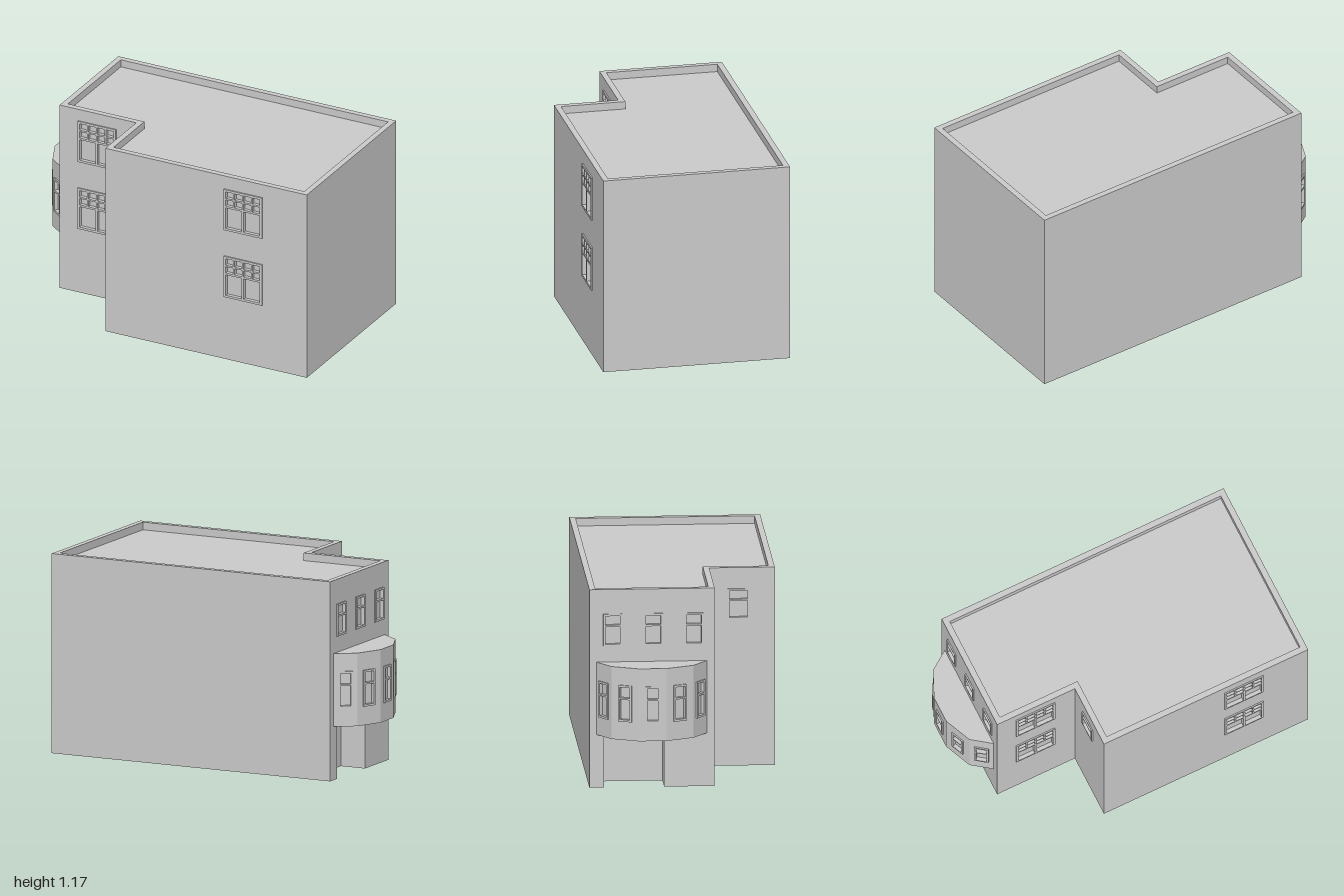
import * as THREE from 'three';

const H = 1.175, ROOF = 1.13;
const mat = new THREE.MeshStandardMaterial({ color: 0xcccccc, side: THREE.DoubleSide, flatShading: true });

function add(parent, name, geo, x = 0, y = 0, z = 0) {
  const m = new THREE.Mesh(geo, mat);
  m.name = name;
  m.position.set(x, y, z);
  parent.add(m);
  return m;
}
const box = (p, n, w, h, d, x, y, z) => add(p, n, new THREE.BoxGeometry(w, h, d), x, y, z);
const poly = (pts) => new THREE.Shape(pts.map(([x, y]) => new THREE.Vector2(x, y)));
const rect = (x, y, w, h) => poly([[x, y], [x + w, y], [x + w, y + h], [x, y + h]]);

// Horizontal sheet from a list of [x, z] corners
function sheet(parent, name, pts, y) {
  add(parent, name, new THREE.ShapeGeometry(poly(pts)), 0, y, 0).rotation.x = Math.PI / 2;
}

// Window in the local plane of a wall: pierced frame plus a recessed pane
function addWindow(parent, { x, y, w, h, grid }) {
  const g = new THREE.Group();
  g.name = 'window';
  g.position.set(x, y, 0);
  parent.add(g);
  const t = grid ? 0.014 : 0.012, frame = rect(0, 0, w, h);
  const cells = (x0, y0, cw, ch, cols, rows, gap) => {
    const pw = (cw - gap * (cols - 1)) / cols, ph = (ch - gap * (rows - 1)) / rows;
    for (let i = 0; i < cols; i++) for (let j = 0; j < rows; j++)
      frame.holes.push(rect(x0 + i * (pw + gap), y0 + j * (ph + gap), pw, ph));
  };
  const iw = w - 2 * t, ih = h - 2 * t;
  if (grid) {
    cells(t, t, iw, ih * 0.56, 2, 1, 0.012);
    cells(t, t + ih * 0.56 + 0.012, iw, ih * 0.44 - 0.012, 4, 2, 0.01);
  } else {
    cells(t, t, iw, ih * 0.62, 1, 1, 0.01);
    cells(t, t + ih * 0.62 + 0.01, iw, ih * 0.38 - 0.01, 1, 1, 0.01);
  }
  add(g, 'windowFrame', new THREE.ExtrudeGeometry(frame, { depth: 0.03, bevelEnabled: false }), 0, 0, -0.022);
  add(g, 'windowPane', new THREE.PlaneGeometry(w, h), w / 2, h / 2, -0.014);
}

// Wall sheet from corner a to corner b ([x, z]), outside on local +z
function wall(parent, name, a, b, { y = 0, h = H, windows = [], door } = {}) {
  const g = new THREE.Group();
  g.name = name;
  const dx = b[0] - a[0], dz = b[1] - a[1], len = Math.hypot(dx, dz);
  g.position.set(a[0], y, a[1]);
  g.rotation.y = Math.atan2(-dz, dx);
  const s = door
    ? poly([[0, 0], [door[0], 0], [door[0], door[2]], [door[1], door[2]], [door[1], 0], [len, 0], [len, h], [0, h]])
    : rect(0, 0, len, h);
  for (const w of windows) {
    s.holes.push(rect(w.x, w.y, w.w, w.h));
    addWindow(g, w);
  }
  add(g, name + 'Panel', new THREE.ShapeGeometry(s));
  parent.add(g);
}

export function createModel() {
  const house = new THREE.Group();
  house.name = 'house';
  const L = -0.815, N = -0.315, R = 1, B = -0.56, M = 0.165, F = 0.545;

  // Outer walls of the L-shaped plan
  const big = (x, y) => ({ x, y, w: 0.25, h: 0.262, grid: true });
  const small = (x, y) => ({ x, y, w: 0.11, h: 0.19 });
  wall(house, 'frontWall', [N, F], [R, F], { windows: [big(0.46 - N, 0.4), big(0.46 - N, 0.83)] });
  wall(house, 'leftWall', [R, F], [R, B]);
  wall(house, 'backWall', [R, B], [L, B]);
  wall(house, 'rightWall', [L, B], [L, M], {
    door: [0.085, 0.433, 0.315],
    windows: [0.08, 0.315, 0.55].map((x) => small(x, 0.84)),
  });
  wall(house, 'wingFrontWall', [L, M], [N, M], { windows: [big(-0.695 - L, 0.41), big(-0.695 - L, 0.84)] });
  wall(house, 'notchWall', [N, M], [N, F], { windows: [{ x: 0.105, y: 0.87, w: 0.13, h: 0.18 }] });

  // Roof and parapet
  const ring = (d) => [[L + d, B + d], [R - d, B + d], [R - d, F - d], [N + d, F - d], [N + d, M - d], [L + d, M - d]];
  sheet(house, 'roof', ring(0), ROOF);
  const cap = poly(ring(0));
  cap.holes.push(poly(ring(0.035)));
  const parapet = add(house, 'parapet',
    new THREE.ExtrudeGeometry(cap, { depth: H - ROOF, bevelEnabled: false }), 0, H, 0);
  parapet.rotation.x = Math.PI / 2;

  // Faceted bay on the side
  const bay = new THREE.Group();
  bay.name = 'bay';
  house.add(bay);
  const arc = [[L, -0.52], [-0.93, -0.44], [-1, -0.285], [-1, -0.125], [-0.93, 0.035], [L, 0.12]];
  for (let i = 0; i < 5; i++) {
    const a = arc[i], b = arc[i + 1], len = Math.hypot(b[0] - a[0], b[1] - a[1]), w = 0.085;
    wall(bay, 'bayFacet', a, b, { y: 0.315, h: 0.43, windows: [{ x: (len - w) / 2, y: 0.11, w, h: 0.215 }] });
  }
  sheet(bay, 'bayFloor', arc, 0.315);
  sheet(bay, 'bayRoof', arc, 0.745);

  // Recessed porch under the bay
  const P = -0.66, z0 = -0.475, z1 = -0.127;
  wall(house, 'porchBack', [P, z0], [P, z1], { h: 0.315 });
  wall(house, 'porchSide', [L, z0], [P, z0], { h: 0.315 });
  wall(house, 'porchSide', [P, z1], [L, z1], { h: 0.315 });
  sheet(house, 'porchCeiling', [[L, z0], [P, z0], [P, z1], [L, z1]], 0.315);

  // Stairwell partitions and steps inside
  wall(house, 'stairPartition', [N, 0.25], [0.15, 0.25], { h: ROOF });
  wall(house, 'stairPartition', [-0.2, 0.42], [0.16, 0.42], { h: ROOF });
  const n = 14;
  for (let i = 0; i < n; i++)
    box(house, 'stairStep', 0.034, 0.02, 0.165, -0.29 + i * 0.034, 0.02 + i * 0.022, 0.335);

  return house;
}
